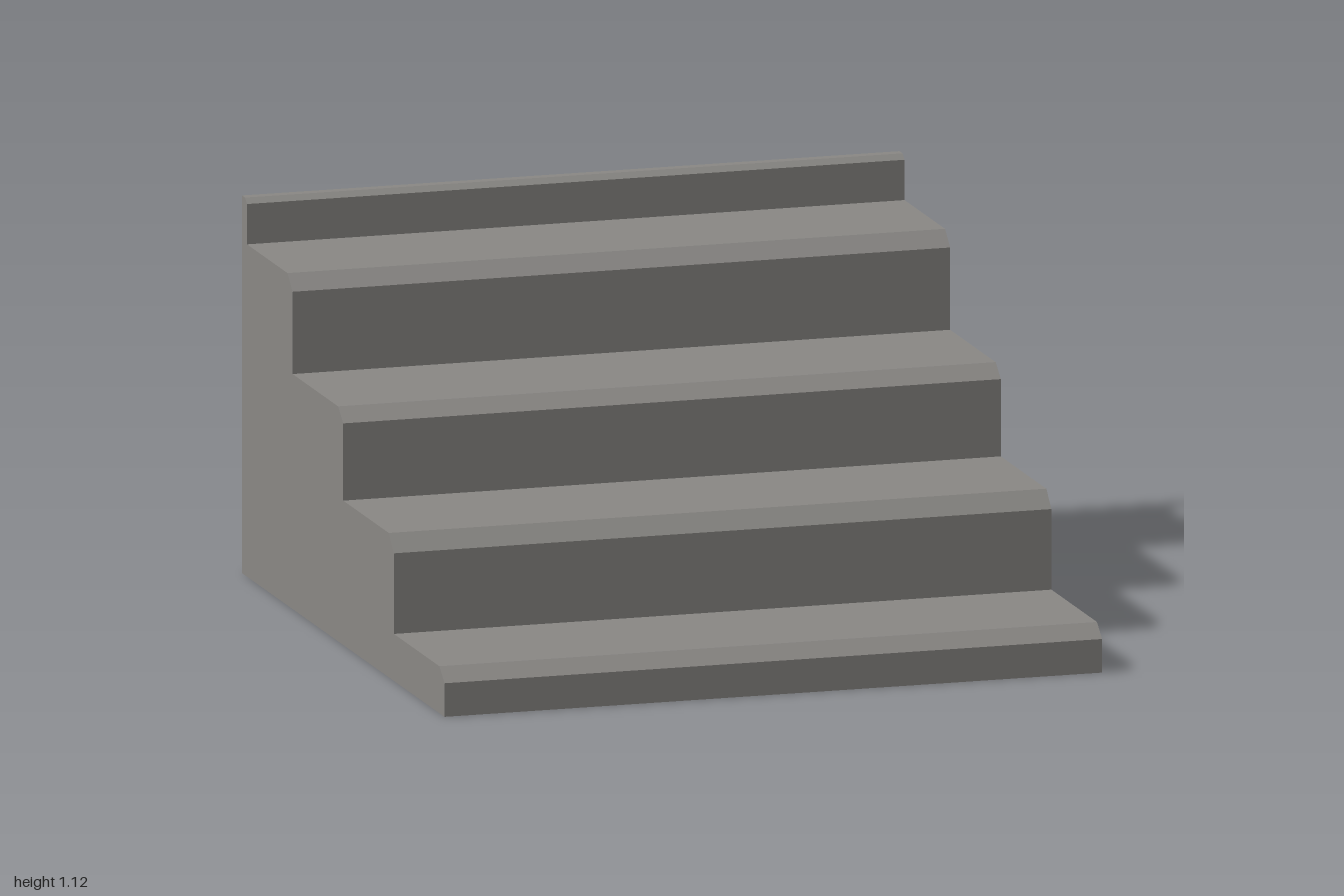
import * as THREE from 'three';

export function createModel() {
  const group = new THREE.Group();
  group.name = 'steps';
  const stone = new THREE.MeshStandardMaterial({ color: 0x8a8885, side: THREE.DoubleSide });
  stone.name = 'warm grey stone';

  // Each step: front z, base y, nosing y, tread y, nosing depth, back z
  const steps = [
    [1, 0, 0.1, 0.14, 0.05, 0.5],
    [0.5, 0.14, 0.38, 0.43, 0.05, 0],
    [0, 0.43, 0.66, 0.7, 0.05, -0.5],
    [-0.5, 0.7, 0.945, 0.99, 0.05, -0.95],
    [-0.95, 0.99, 1.11, 1.125, 0.02, -1],
  ];
  const width = 2;
  const profile = [[1, 0]];

  // Flat panel across the full width, from the last profile point to (z, y)
  function panel(name, z, y) {
    const [z0, y0] = profile[profile.length - 1];
    const geo = new THREE.PlaneGeometry(width, Math.hypot(z - z0, y - y0));
    geo.rotateX(Math.atan2(z - z0, y - y0));
    geo.translate(0, (y + y0) / 2, (z + z0) / 2);
    const mesh = new THREE.Mesh(geo, stone);
    mesh.name = name;
    group.add(mesh);
    profile.push([z, y]);
  }

  // Risers, bevelled nosings and treads
  for (const [front, , noseY, treadY, nose, back] of steps) {
    panel('riser', front, noseY);
    panel('nosing', front - nose, treadY);
    panel('tread', back, treadY);
  }
  panel('backWall', -1, 0);

  // Stepped side walls; the underside stays open
  for (const s of [1, -1]) {
    const shape = new THREE.Shape(profile.slice(0, -1).concat([[-1, 0]])
      .map(([z, y]) => new THREE.Vector2(-s * z, y)));
    const geo = new THREE.ShapeGeometry(shape);
    geo.rotateY(s * Math.PI / 2);
    geo.translate(s * width / 2, 0, 0);
    const wall = new THREE.Mesh(geo, stone);
    wall.name = s > 0 ? 'leftWall' : 'rightWall';
    group.add(wall);
  }
  return group;
}
